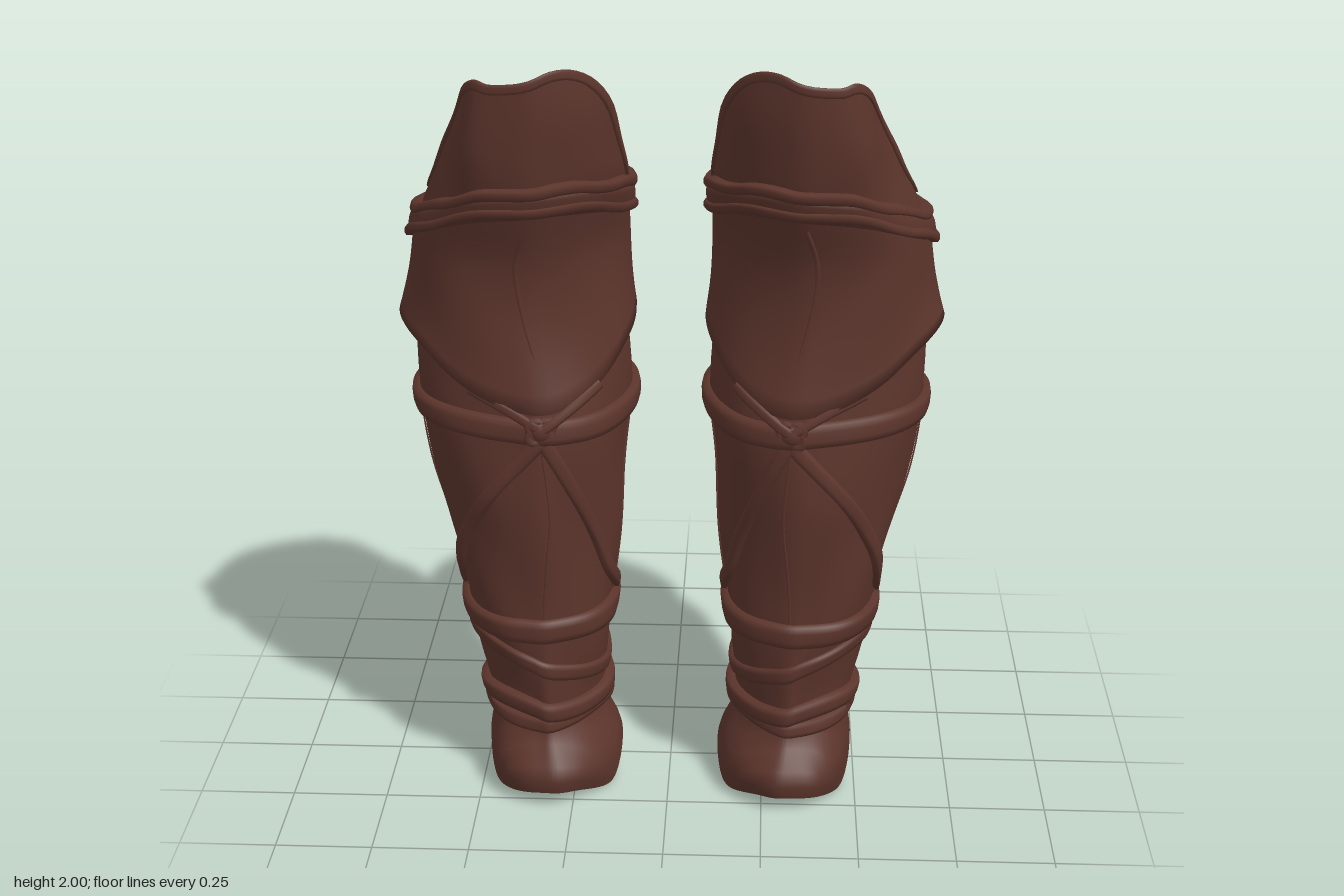
import * as THREE from 'three';

// Leg cross-sections: y, inner x, outer x, back z, front z, front squareness (below 1 is broader), front skew
const SECTIONS = [
  [0.00, 0.13, 0.49, -0.18, 0.255, 1, 0], [0.06, 0.13, 0.49, -0.185, 0.295, 1, 0], [0.12, 0.14, 0.49, -0.178, 0.298, 1, 0],
  [0.19, 0.172, 0.48, -0.147, 0.22, 1.2, 0], [0.28, 0.175, 0.485, -0.147, 0.215, 1.2, 0], [0.40, 0.16, 0.51, -0.185, 0.23, 1.12, 0],
  [0.50, 0.155, 0.53, -0.20, 0.24, 1.05, 0], [0.62, 0.145, 0.55, -0.20, 0.245, 1, 0], [0.76, 0.13, 0.585, -0.23, 0.255, 1, -0.01],
  [0.90, 0.115, 0.62, -0.28, 0.268, 1, -0.015], [1.07, 0.10, 0.645, -0.31, 0.27, 1, -0.02], [1.25, 0.11, 0.65, -0.325, 0.25, 1, -0.01],
  [1.40, 0.12, 0.65, -0.315, 0.242, 0.95, 0], [1.52, 0.12, 0.645, -0.298, 0.252, 0.9, 0.01], [1.60, 0.115, 0.62, -0.27, 0.28, 0.85, 0.025],
  [1.70, 0.105, 0.57, -0.26, 0.318, 0.8, 0.04], [1.80, 0.11, 0.54, -0.27, 0.345, 0.8, 0.055], [1.90, 0.11, 0.505, -0.28, 0.36, 0.8, 0.06],
  [2.00, 0.12, 0.48, -0.28, 0.362, 0.8, 0.06],
];
// Edge heights against cos(angle): -1 is the back, 1 the front
const TOP = [[-1, 1.6], [-0.42, 1.615], [-0.12, 1.64], [0.09, 1.695], [0.3, 1.77], [0.48, 1.87], [0.7, 1.955], [0.9, 1.988], [1, 1.972]];
const BOTTOM = [[-1, 0.05], [-0.56, 0.08], [-0.24, 0.1], [0.16, 0.05], [0.56, 0.005], [1, 0.05]];
const HEM = [[-1, 1.27], [-0.4, 1.285], [0, 1.305], [0.5, 1.27], [0.8, 1.19], [1, 1.13]];
// Angle of the shin line, slightly towards the inner side
const SHIN = -0.16;

// Smooth lookup in a keyed table
function sample(keys, t, col = 1) {
  const last = keys.length - 1;
  t = Math.min(Math.max(t, keys[0][0]), keys[last][0]);
  let i = 0;
  while (i < last - 1 && t > keys[i + 1][0]) i++;
  const slope = (k) => {
    const a = keys[Math.max(k - 1, 0)], b = keys[Math.min(k + 1, last)];
    return (b[col] - a[col]) / (b[0] - a[0]);
  };
  const w = keys[i + 1][0] - keys[i][0], s = (t - keys[i][0]) / w, s2 = s * s, s3 = s2 * s;
  return (2 * s3 - 3 * s2 + 1) * keys[i][col] + (s3 - 2 * s2 + s) * w * slope(i)
    + (3 * s2 - 2 * s3) * keys[i + 1][col] + (s3 - s2) * w * slope(i + 1);
}

// Point on the leg at an angle (0 front, + outer side) and height, pushed outward
function legPoint(angle, y, out = 0) {
  const [x0, x1, z0, z1, square, skew] = [1, 2, 3, 4, 5, 6].map((c) => sample(SECTIONS, y, c));
  const sn = Math.sin(angle), cs = Math.cos(angle);
  const wide = Math.sign(sn) * Math.abs(sn) ** (cs > 0 ? square : 1.08);
  const shin = Math.exp(-(((angle - SHIN) / 0.2) ** 2)) * 0.008;
  const fold = 0.004 * Math.sin(3 * angle + 9 * y) + 0.003 * Math.sin(5 * angle - 14 * y);
  const d = out + fold;
  return [(x0 + x1) / 2 + ((x1 - x0) / 2) * wide + d * sn + skew * Math.max(0, cs) ** 3, y,
    (z0 + z1) / 2 + ((z1 - z0) / 2 + d + shin) * cs];
}

// Upper edge: the inner corner stands a little higher than the outer one
const topY = (a) => sample(TOP, Math.cos(a)) - 0.03 * Math.sin(a) * Math.max(0, Math.cos(a));

// Surface from a grid of points; side = -1 mirrors it
function gridGeometry(nu, nv, side, fn) {
  const pos = [], index = [];
  for (let i = 0; i <= nu; i++) for (let j = 0; j <= nv; j++) {
    const p = fn(i / nu, j);
    pos.push(p[0] * side, p[1], p[2]);
  }
  for (let i = 0; i < nu; i++) for (let j = 0; j < nv; j++) {
    const a = i * (nv + 1) + j, b = a + nv + 1;
    if (side > 0) index.push(a, b, a + 1, b, b + 1, a + 1);
    else index.push(a, a + 1, b, b, a + 1, b + 1);
  }
  const g = new THREE.BufferGeometry();
  g.setAttribute('position', new THREE.Float32BufferAttribute(pos, 3));
  g.setIndex(index);
  g.computeVertexNormals();
  return g;
}

export function createModel() {
  const model = new THREE.Group();
  model.name = 'legGuards';
  const leather = new THREE.MeshStandardMaterial({ color: 0x5c352c, side: THREE.DoubleSide });
  leather.name = 'brownLeather';

  for (const side of [1, -1]) {
    const leg = new THREE.Group();
    leg.name = side > 0 ? 'leftLegGuard' : 'rightLegGuard';
    model.add(leg);
    const add = (name, geometry) => {
      const mesh = new THREE.Mesh(geometry, leather);
      mesh.name = name;
      leg.add(mesh);
      return mesh;
    };

    // Strap along a path of [angle, height], lying on the leg
    const strap = (name, points, half, thick, lift = 0, n = 72) => {
      const curve = new THREE.CatmullRomCurve3(points.map(([a, y]) => new THREE.Vector3(a * 0.27, y, 0)));
      const profile = [[-1, 0.001], [-0.95, thick * 0.85], [-0.4, thick], [0.4, thick], [0.95, thick * 0.85], [1, 0.001]];
      add(name, gridGeometry(n, profile.length - 1, side, (u, j) => {
        const p = curve.getPoint(u), t = curve.getTangent(u), [w, o] = profile[j];
        return legPoint((p.x - t.y * w * half) / 0.27, p.y + t.x * w * half, o + lift);
      }));
    };
    // Closed strap whose height follows a function of the angle
    const ring = (name, height, half, thick, lift) => {
      const pts = [];
      for (let i = 0; i <= 32; i++) {
        const a = -Math.PI + (i / 32) * Math.PI * 2;
        pts.push([a, height(a)]);
      }
      strap(name, pts, half, thick, lift, 96);
    };

    // Main shell, open at both ends
    add('shell', gridGeometry(96, 48, side, (u, j) => {
      const a = u * Math.PI * 2 - Math.PI;
      const lo = sample(BOTTOM, Math.cos(a)), hi = topY(a);
      return legPoint(a, lo + (hi - lo) * (j / 48));
    }));
    ring('topRim', (a) => topY(a) - 0.006, 0.012, 0.008);

    // Upper wrap with a flared, pointed hem, widest at the back and outer side
    const bandY = (a) => 1.615 + 0.07 * Math.cos(a) - 0.04 * Math.sin(a) - 0.03 * Math.sin(a) ** 2;
    add('upperWrap', gridGeometry(72, 13, side, (u, j) => {
      const a = u * Math.PI * 2 - Math.PI, lo = sample(HEM, Math.cos(a - SHIN));
      if (j === 0) return legPoint(a, lo + 0.01, 0.002);
      const v = (j - 1) / 12;
      const flare = 0.014 + 0.024 * Math.max(0, -Math.cos(a)) + 0.02 * Math.max(0, Math.sin(a));
      return legPoint(a, lo + (bandY(a) - lo) * v, 0.01 + flare * (1 - v) ** 2);
    }));

    // Knee band: a broad strip with rolled edges, narrowing to the front
    const spread = (a) => 0.75 - 0.25 * Math.cos(a);
    ring('kneeBand', (a) => bandY(a) - 0.012, 0.035, 0.024);
    ring('kneeBandUpperRoll', (a) => bandY(a) + 0.045 * spread(a) + 0.004 * Math.sin(9 * a), 0.014, 0.028);
    ring('kneeBandLowerRoll', (a) => bandY(a) - 0.052 * spread(a) + 0.004 * Math.sin(7 * a), 0.014, 0.032);

    // Calf, shin and ankle straps
    ring('calfStrap', (a) => 1.08 + 0.006 * Math.sin(2 * a), 0.03, 0.022);
    ring('shinStrap', () => 0.505, 0.032, 0.022);
    ring('slantedStrap', (a) => 0.395 + 0.06 * Math.sin(a), 0.022, 0.014);
    ring('ankleStrapUpper', (a) => 0.262 + 0.012 * Math.sin(2 * a), 0.024, 0.026);
    ring('ankleStrapLower', (a) => 0.225 - 0.008 * Math.sin(2 * a + 1), 0.018, 0.022);

    // Straps crossing down from the knot
    strap('outerDiagonalStrap', [[SHIN, 1.06], [0.35, 0.9], [0.8, 0.75], [1.2, 0.62], [1.75, 0.52]], 0.018, 0.018);
    strap('innerDiagonalStrap', [[SHIN, 1.06], [-0.5, 0.9], [-0.85, 0.75], [-1.15, 0.63], [-1.7, 0.52]], 0.018, 0.018);
    for (const d of [1, -1]) {
      strap('upperTie', [[SHIN, 1.09], [SHIN + 0.3 * d, 1.14], [SHIN + 0.6 * d, 1.18]], 0.012, 0.012, 0.016);
    }

    // Stitched seams
    strap('frontSeam', [[SHIN, 1.03], [SHIN - 0.08, 0.85], [SHIN - 0.03, 0.7], [SHIN, 0.54]], 0.004, 0.005);
    strap('upperSeam', [[SHIN, 1.62], [SHIN + 0.08, 1.5], [SHIN + 0.05, 1.38], [SHIN - 0.03, 1.25]], 0.005, 0.008, 0.01);
    for (const a of [1.45, -1.45]) strap('sideSeam', [[a, 1.04], [a + 0.04, 0.8], [a, 0.54]], 0.004, 0.005);

    // Knots: crossed loops with a core
    const knot = (name, angle, y, size) => {
      const p = legPoint(angle, y, 0.014);
      for (let k = 0; k < 3; k++) {
        const m = add(name, k === 2 ? new THREE.SphereGeometry(size * 0.6, 12, 8)
          : new THREE.TorusGeometry(size * 0.8, size * 0.3, 6, 14));
        m.position.set(p[0] * side, p[1], p[2]);
        m.rotation.y = angle * side;
        m.rotateZ(k ? 0.7 : -0.7);
        m.scale.set(1, k === 2 ? 1 : 0.65, 0.55);
      }
    };
    knot('frontKnot', SHIN, 1.085, 0.045);
    knot('shinKnot', SHIN, 0.505, 0.025);
    knot('ankleKnot', 1.2, 0.25, 0.032);
  }
  return model;
}
